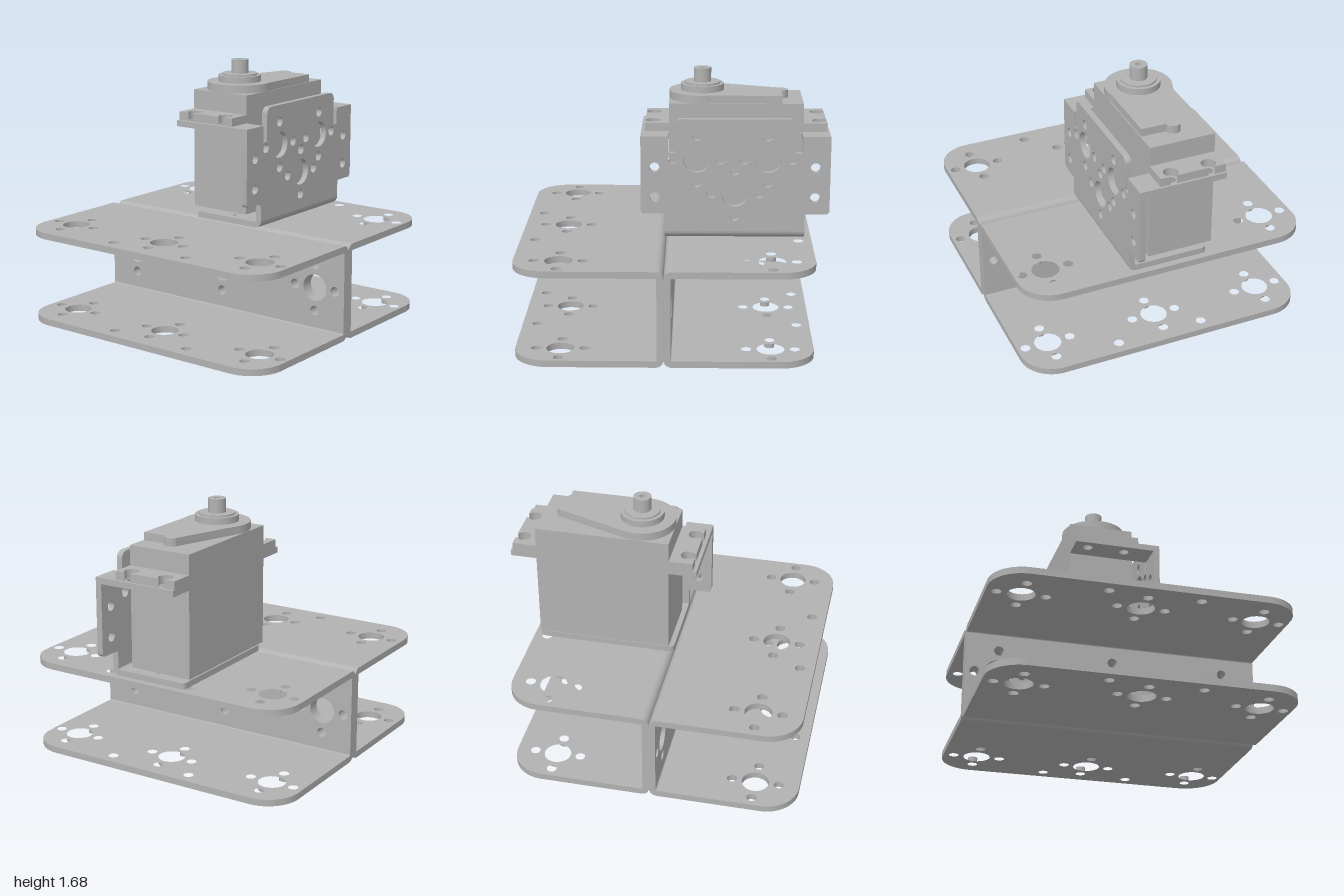
import * as THREE from 'three';
import { toCreasedNormals } from 'three/addons/utils/BufferGeometryUtils.js';

const grey = new THREE.MeshStandardMaterial({ color: 0xb2b2b2 });
grey.name = 'plain grey metal';

const BIG = 0.088, SMALL = 0.032, RING = 0.153;

function add(group, name, geometry) {
  const mesh = new THREE.Mesh(toCreasedNormals(geometry, 0.6), grey);
  mesh.name = name;
  group.add(mesh);
  return mesh;
}

// Closed outline from [u, v, cornerRadius] points (square corners)
function outline(points) {
  const shape = new THREE.Shape();
  const n = points.length;
  points.forEach(([u, v, r = 0], i) => {
    const c = new THREE.Vector2(u, v);
    const step = (q, d) => c.clone().add(new THREE.Vector2(q[0], q[1]).sub(c).setLength(d));
    const prev = points[(i + n - 1) % n], next = points[(i + 1) % n];
    const a = r ? step(prev, r) : c;
    if (i === 0) shape.moveTo(a.x, a.y); else shape.lineTo(a.x, a.y);
    if (r) {
      const h1 = step(prev, r * 0.448), h2 = step(next, r * 0.448), b = step(next, r);
      shape.bezierCurveTo(h1.x, h1.y, h2.x, h2.y, b.x, b.y);
    }
  });
  shape.closePath();
  return shape;
}

function hole(shape, u, v, r) {
  const path = new THREE.Path();
  path.absarc(u, v, r, 0, Math.PI * 2, true);
  shape.holes.push(path);
}

// One large hole ringed by four small ones
function holePattern(shape, u, v) {
  hole(shape, u, v, BIG);
  for (const [du, dv] of [[1, 0], [-1, 0], [0, 1], [0, -1]]) hole(shape, u + du * RING, v + dv * RING, SMALL);
}

const extrude = (shape, depth) =>
  new THREE.ExtrudeGeometry(shape, { depth, bevelEnabled: false, curveSegments: 14 });

// Horizontal plate: shape is (x, z), hanging down from top
const flat = (shape, top, depth) => extrude(shape, depth).rotateX(Math.PI / 2).translate(0, top, 0);

// Upright plate: shape is (-z, y), from x to x + depth
const side = (shape, x, depth) => extrude(shape, depth).rotateY(Math.PI / 2).translate(x, 0, 0);

// Quarter ring for a sheet-metal bend
function bendShape(u, v, outer, inner, start) {
  const shape = new THREE.Shape();
  shape.absarc(u, v, outer, start, start + Math.PI / 2, false);
  shape.absarc(u, v, inner, start + Math.PI / 2, start, true);
  shape.closePath();
  return shape;
}

// U-channel: upright web, two perforated flanges, two bends; s = direction of opening
function channel(s) {
  const g = new THREE.Group();
  const seam = 0.057, t = 0.043, R = 0.05, H = 0.625, X0 = -0.968, X1 = 0.963;
  const zIn = seam + s * R, zOut = s > 0 ? 1 : -0.886;
  for (const [name, top] of [['upperFlange', H], ['lowerFlange', t]]) {
    const shape = outline([[X0, zIn], [X1, zIn], [X1, zOut, 0.22], [X0, zOut, 0.22]]);
    for (const x of [-0.748, 0.005, 0.755]) holePattern(shape, x, s > 0 ? 0.714 : -0.612);
    for (const x of [-0.25, 0.335]) hole(shape, x, s > 0 ? 0.905 : -0.8, SMALL);
    add(g, name, flat(shape, top, t));
  }
  for (const [name, y, up] of [['upperBend', H - R, true], ['lowerBend', R, false]]) {
    const start = s > 0 ? (up ? 0 : -Math.PI / 2) : (up ? Math.PI / 2 : Math.PI);
    add(g, name, side(bendShape(-zIn, y, R, R - t, start), X0, X1 - X0));
  }
  const web = outline([[X0, R], [X1, R], [X1, H - R], [X0, H - R]]);
  for (const x of [-0.755, -0.007, 0.741]) holePattern(web, x, 0.315);
  add(g, 'web', extrude(web, t).translate(0, 0, s > 0 ? seam : seam - t));
  g.name = s > 0 ? 'frontChannel' : 'backChannel';
  return g;
}

// Bent bracket that carries the motor
function bracket() {
  const g = new THREE.Group();
  g.name = 'motorBracket';
  const x = 0.247, t = 0.04, R = 0.05, bottom = 0.625, zF = 0.065, zB = -0.842;

  const wall = outline([
    [-zF, bottom + R], [-zB, bottom + R], [-zB, 0.79, 0.01], [1, 0.79, 0.025], [1, 1.305],
    [0.82, 1.305], [0.82, 1.195], [0.78, 1.195], [0.78, 1.418, 0.045], [0, 1.418, 0.045],
    [0, 1.195], [-0.04, 1.195], [-0.04, 1.305], [-0.22, 1.305], [-0.22, 0.79, 0.025], [-zF, 0.79, 0.01],
  ]);
  holePattern(wall, 0.142, 1.153);
  holePattern(wall, 0.6, 1.153);
  holePattern(wall, 0.388, 0.928);
  for (const u of [-0.13, 0.905]) for (const y of [0.9, 1.1]) hole(wall, u, y, SMALL);
  add(g, 'bracketWall', side(wall, x, t));

  const base = outline([[-0.25, zF, 0.03], [x + t - R, zF], [x + t - R, zB], [-0.25, zB, 0.03]]);
  for (const z of [-0.148, -0.61]) holePattern(base, 0.01, z);
  add(g, 'bracketBase', flat(base, bottom + t, t));
  const bend = bendShape(x + t - R, bottom + R, R, R - t, -Math.PI / 2);
  add(g, 'bracketBend', extrude(bend, zF - zB).translate(0, 0, zB));

  // Support tabs under the motor ears
  for (const [z0, z1, zh] of [[0.04, 0.22, 0.147], [-0.82, -1, -0.937]]) {
    const tab = outline([[-0.285, z0], [x, z0], [x, z1], [-0.285, z1]]);
    for (const hx of [-0.19, 0.06]) hole(tab, hx, zh, SMALL);
    add(g, 'supportTab', flat(tab, 1.305, t));
  }
  return g;
}

// Mounting ear with two keyhole slots open at the outer edge
function earShape(z0, s) {
  const pts = [[-0.285, 0], [0.148, 0], [0.148, 0.155]];
  const r = 0.047, half = 0.021, a = Math.asin(half / r);
  for (const cx of [0.06, -0.19]) {
    pts.push([cx + half, 0.155]);
    for (let i = 0; i <= 20; i++) {
      const ang = Math.PI / 2 - a - (i / 20) * (Math.PI * 2 - 2 * a);
      pts.push([cx + r * Math.cos(ang), 0.107 + r * Math.sin(ang)]);
    }
    pts.push([cx - half, 0.155]);
  }
  pts.push([-0.285, 0.155]);
  return new THREE.Shape(pts.map(([x, d]) => new THREE.Vector2(x, z0 + s * d)));
}

function motor() {
  const g = new THREE.Group();
  g.name = 'motor';
  const cx = -0.067, cz = -0.176;
  add(g, 'motorBody', new THREE.BoxGeometry(0.433, 0.793, 0.87).translate(-0.0685, 1.0915, -0.395));
  add(g, 'frontEar', flat(earShape(0.04, 1), 1.36, 0.055));
  add(g, 'backEar', flat(earShape(-0.83, -1), 1.36, 0.055));

  // Gear cover: round end, straight sides, small round bump at the back
  const cover = new THREE.Shape();
  cover.moveTo(cx - 0.2085, -0.69);
  cover.absarc(cx, -0.69, 0.047, Math.PI, Math.PI * 2, false);
  cover.lineTo(cx + 0.2085, -0.69);
  cover.absarc(cx, cz, 0.216, -0.265, Math.PI + 0.265, false);
  cover.closePath();
  add(g, 'gearCover', flat(cover, 1.54, 0.052));

  // Stepped hub and hollow output shaft
  const profile = [[0, 1.54], [0.141, 1.54], [0.141, 1.583], [0.117, 1.583], [0.117, 1.594],
    [0.057, 1.594], [0.057, 1.685], [0.02, 1.685], [0.02, 1.61], [0, 1.61]];
  const hub = new THREE.LatheGeometry(profile.map(([r, y]) => new THREE.Vector2(r, y)), 40);
  add(g, 'outputHub', hub.translate(cx, 0, cz));
  return g;
}

export function createModel() {
  const model = new THREE.Group();
  model.name = 'motorOnDoubleChannel';
  model.add(channel(1), channel(-1), bracket(), motor());
  return model;
}
